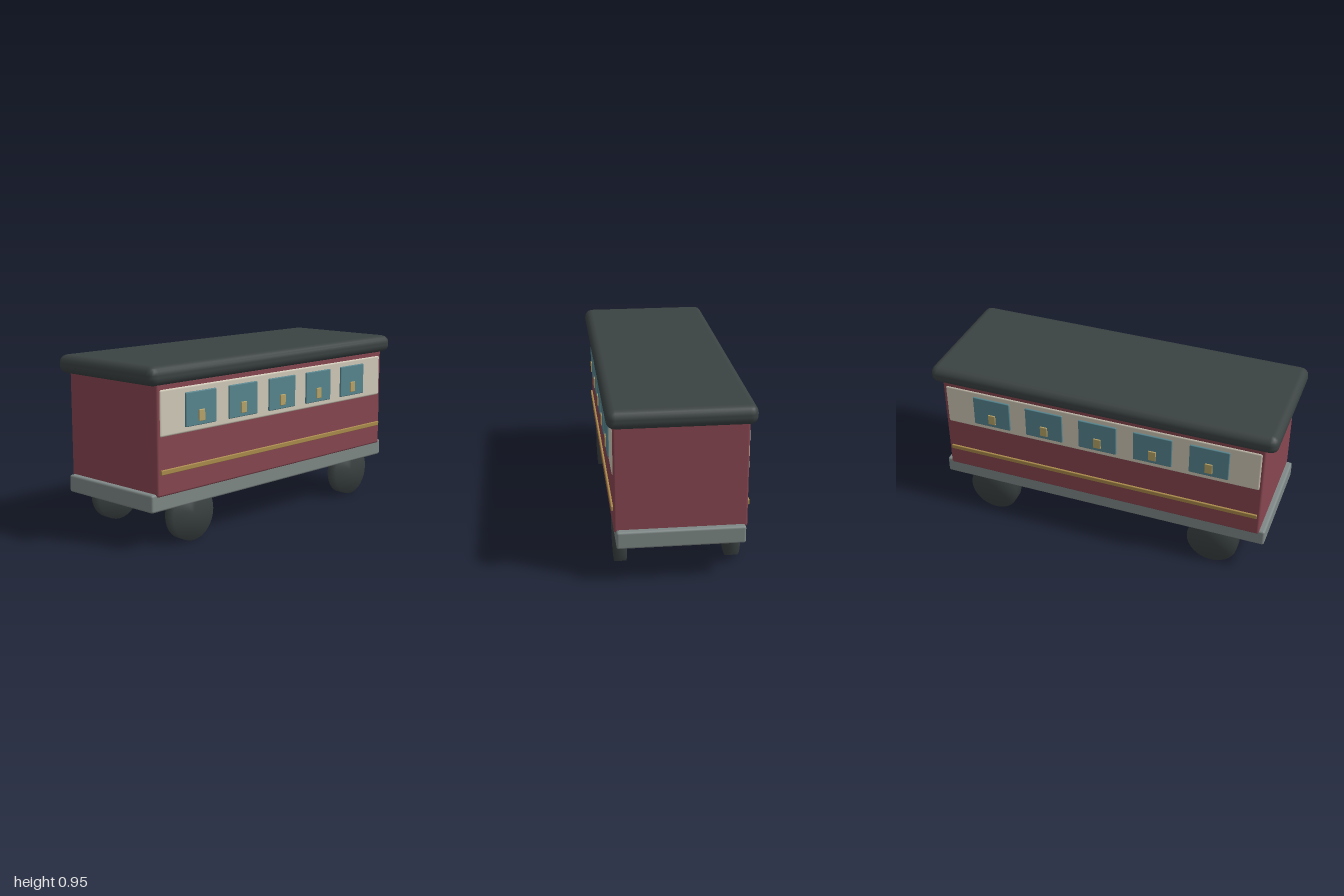
import * as THREE from 'three';
import { RoundedBoxGeometry } from 'three/addons/geometries/RoundedBoxGeometry.js';
import { mergeVertices } from 'three/addons/utils/BufferGeometryUtils.js';

const material = (name, color) => {
  const m = new THREE.MeshStandardMaterial({ color });
  m.name = name;
  return m;
};

export function createModel() {
  const charcoal = material('charcoal', 0x3b4242);
  const maroon = material('maroon', 0x874650);
  const cream = material('cream', 0xd0c9b8);
  const grey = material('grey', 0x7e8886);
  const glass = material('teal glass', 0x56848e);
  const brass = material('brass', 0xaa8a4a);
  const lampYellow = material('lamp yellow', 0xb8a468);

  const coach = new THREE.Group();
  coach.name = 'railwayCoach';

  const add = (name, geometry, mat, x, y, z) => {
    const mesh = new THREE.Mesh(geometry, mat);
    mesh.name = name;
    mesh.position.set(x, y, z);
    coach.add(mesh);
    return mesh;
  };
  // Bevelled block given by its size, bevel and centre
  const block = (name, mat, w, h, d, r, x, y, z, segments = 2) =>
    add(name, new RoundedBoxGeometry(w, h, d, segments, r), mat, x, y, z);

  // Chassis, body and overhanging roof
  block('chassis', grey, 0.668, 0.095, 1.94, 0.012, 0, 0.248, 0);
  block('body', maroon, 0.69, 0.585, 1.876, 0.012, 0, 0.5725, 0);
  block('roof', charcoal, 0.758, 0.102, 2, 0.045, 0, 0.904, 0);

  // Wheel with softly shaded rim and faces
  const wheel = new THREE.CylinderGeometry(0.147, 0.147, 0.063, 32);
  wheel.rotateZ(Math.PI / 2);
  wheel.deleteAttribute('uv');
  wheel.deleteAttribute('normal');
  const softWheel = mergeVertices(wheel);
  softWheel.computeVertexNormals();

  for (const side of [1, -1]) {
    const label = side > 0 ? 'left' : 'right';

    // Upper panel and trim strip
    block(label + 'WindowBand', cream, 0.03, 0.245, 1.844, 0.012, side * 0.335, 0.711, 0);
    block(label + 'TrimStrip', brass, 0.012, 0.026, 1.84, 0.004, side * 0.35, 0.408, 0);

    // Windows, each with a small lamp
    for (let i = -2; i <= 2; i++) {
      const z = i * 0.319;
      block(label + 'Window', glass, 0.02, 0.18, 0.222, 0.005, side * 0.349, 0.71, z);
      block(label + 'WindowLamp', lampYellow, 0.012, 0.062, 0.044, 0.004, side * 0.359, 0.671, z);
    }

    for (const end of [1, -1]) {
      add(label + (end > 0 ? 'FrontWheel' : 'BackWheel'), softWheel, charcoal,
        side * 0.3, 0.147, end * 0.675);
    }
  }
  return coach;
}
